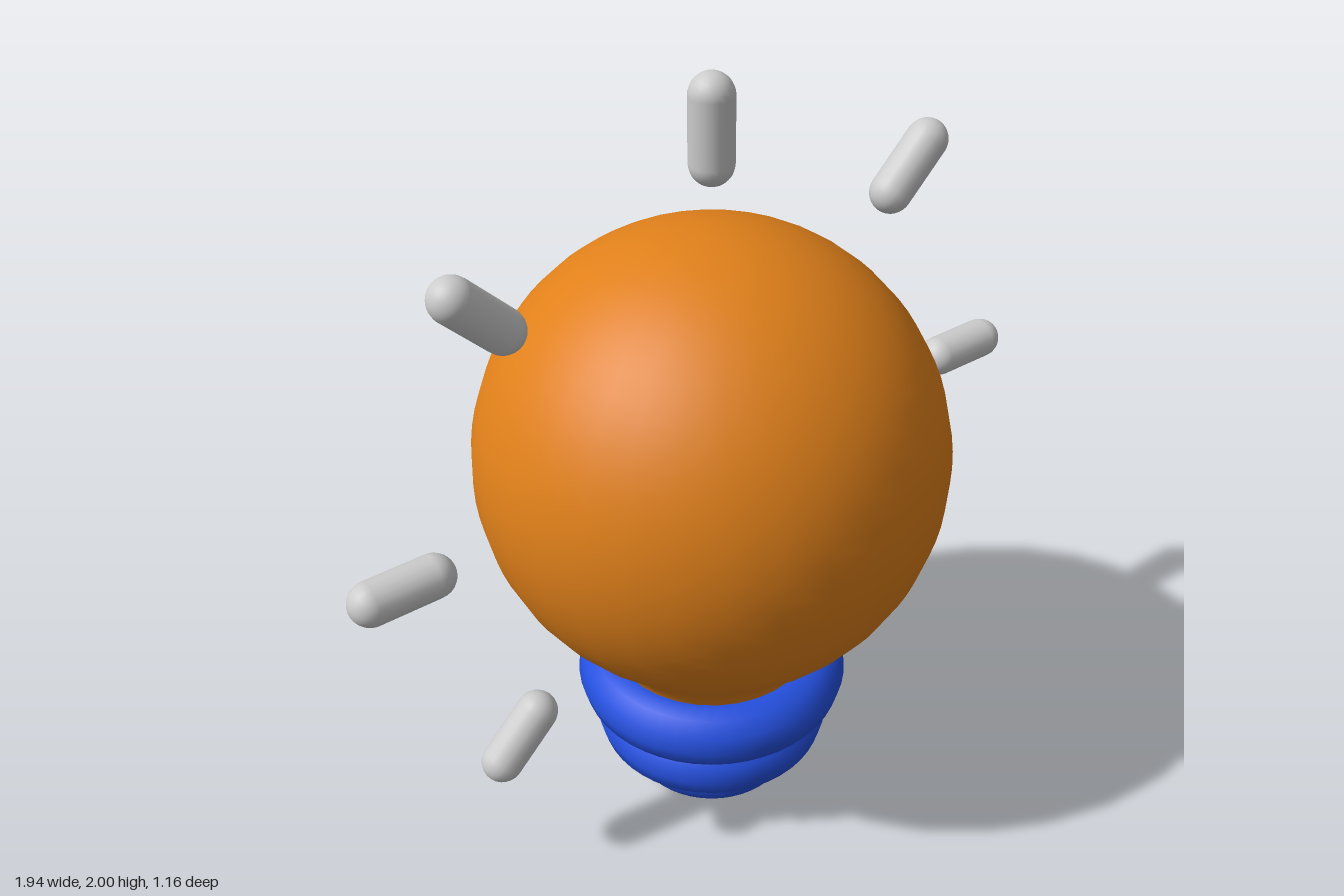
import * as THREE from 'three';

export function createModel() {
  const group = new THREE.Group();
  const orange = new THREE.MeshStandardMaterial({ color: 0xe0801a });
  const blue = new THREE.MeshStandardMaterial({ color: 0x2450e0 });
  const grey = new THREE.MeshStandardMaterial({ color: 0xcccccc });
  const centerY = 1.035;

  function add(name, geometry, material) {
    const mesh = new THREE.Mesh(geometry, material);
    mesh.name = name;
    group.add(mesh);
    return mesh;
  }

  // Glass bulb: closed neck flaring smoothly into a sphere
  const profile = [
    [0, 0.28], [0.23, 0.28], [0.24, 0.36], [0.265, 0.445], [0.295, 0.495],
    [0.335, 0.545], [0.385, 0.595],
  ].map(([x, y]) => new THREE.Vector2(x, y));
  const steps = 28, start = -0.72;
  for (let i = 0; i <= steps; i++) {
    const a = start + (Math.PI / 2 - start) * i / steps;
    profile.push(new THREE.Vector2(Math.max(0, 0.58 * Math.cos(a)), centerY + 0.587 * Math.sin(a)));
  }
  add('bulb', new THREE.LatheGeometry(profile, 32), orange);

  // Screw base: three stacked rings, narrowing downwards
  const rings = [
    ['upperBaseRing', 0.268, 0.087, 0.358],
    ['middleBaseRing', 0.225, 0.085, 0.205],
    ['lowerBaseRing', 0.138, 0.086, 0.09],
  ];
  for (const [name, radius, tube, y] of rings) {
    const ring = add(name, new THREE.TorusGeometry(radius, tube, 12, 48), blue);
    ring.rotation.x = Math.PI / 2;
    ring.position.y = y;
  }

  // Light rays: seven capsules fanned around the bulb, none at the bottom
  const rayGeometry = new THREE.CapsuleGeometry(0.052, 0.152, 8, 20);
  for (let i = -3; i <= 3; i++) {
    const a = i * Math.PI / 4;
    const ray = add('lightRay' + (i + 4), rayGeometry, grey);
    ray.position.set(0.842 * Math.sin(a), 1.03 + 0.842 * Math.cos(a), 0);
    ray.rotation.z = -a;
  }
  return group;
}
